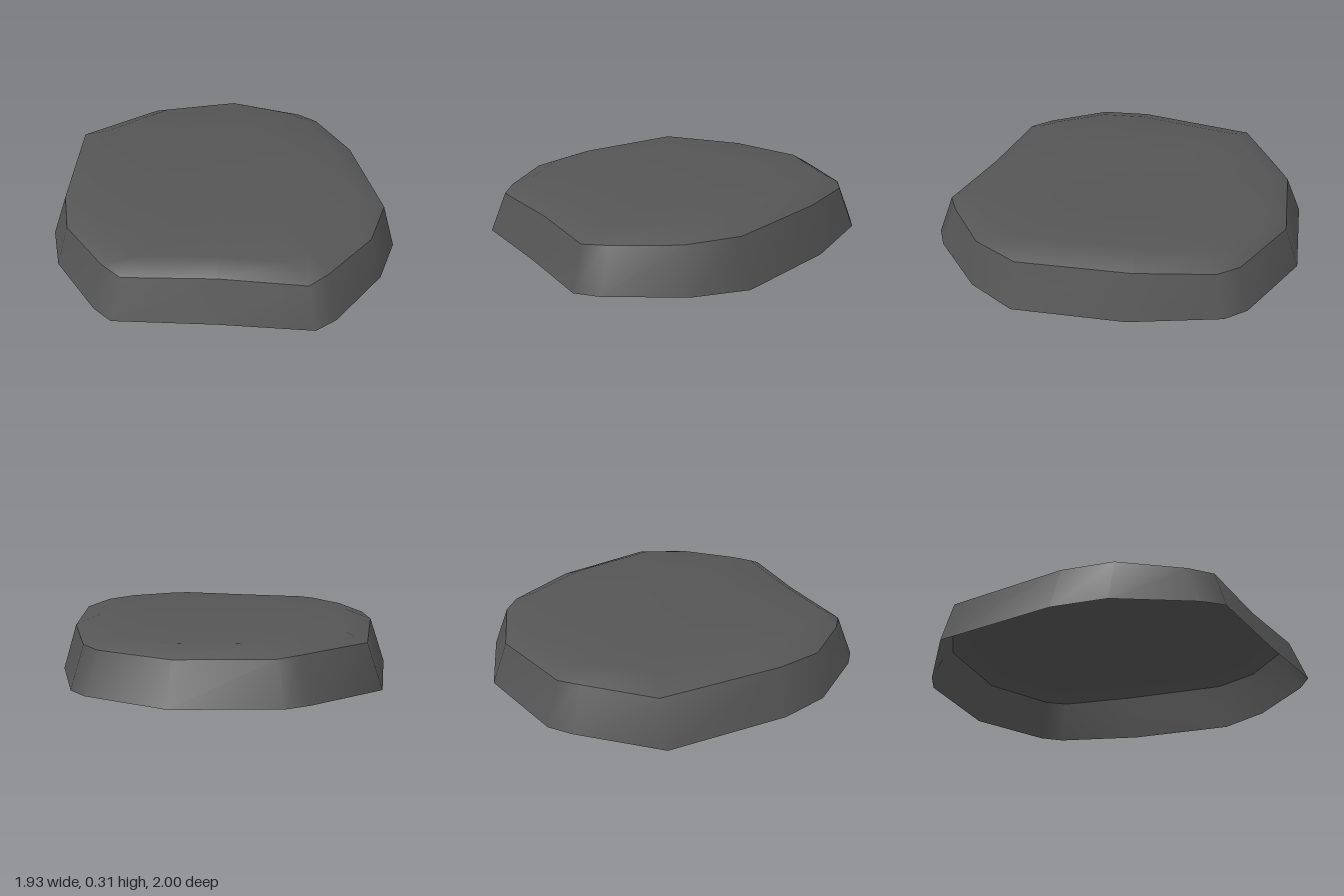
import * as THREE from 'three';

// Outline corners clockwise from the back: foot x, z, shoulder x, z, shoulder height
const OUTLINE = [
  [0.02, -1.0, 0.02, -0.915, 0.225], [0.49, -0.86, 0.44, -0.79, 0.225],
  [0.6, -0.77, 0.55, -0.7, 0.23], [0.82, -0.32, 0.74, -0.32, 0.255],
  [0.965, 0.27, 0.89, 0.27, 0.255], [0.87, 0.56, 0.8, 0.55, 0.242],
  [0.62, 0.91, 0.57, 0.83, 0.228], [0.515, 0.995, 0.47, 0.92, 0.222],
  [0.02, 0.98, 0.02, 0.895, 0.224], [-0.51, 0.985, -0.46, 0.91, 0.222],
  [-0.61, 0.9, -0.57, 0.82, 0.228], [-0.87, 0.55, -0.8, 0.54, 0.24],
  [-0.95, 0.27, -0.865, 0.27, 0.248], [-0.97, -0.41, -0.885, -0.415, 0.248],
  [-0.64, -0.78, -0.57, -0.71, 0.23], [-0.53, -0.87, -0.48, -0.79, 0.225],
];

// Skins successive rings of points, closing on an optional centre point
function loft(rings, centre) {
  const n = rings[0].length, points = rings.flat(), index = [];
  for (let r = 0; r < rings.length - 1; r++) {
    for (let i = 0; i < n; i++) {
      const a = r * n + i, b = r * n + (i + 1) % n;
      index.push(a, a + n, b, b, a + n, b + n);
    }
  }
  if (centre) {
    const last = (rings.length - 1) * n;
    for (let i = 0; i < n; i++) index.push(last + i, points.length, last + (i + 1) % n);
    points.push(centre);
  }
  const geometry = new THREE.BufferGeometry();
  geometry.setAttribute('position', new THREE.Float32BufferAttribute(points.flat(), 3));
  geometry.setIndex(index);
  geometry.computeVertexNormals();
  return geometry;
}

export function createModel() {
  const group = new THREE.Group();
  group.name = 'stoneSlab';
  const stone = new THREE.MeshStandardMaterial({ color: 0x555555, side: THREE.DoubleSide });
  stone.name = 'dark grey stone';

  const foot = OUTLINE.map(([x, z]) => [x, 0, z]);
  const shoulder = OUTLINE.map(([, , x, z, y]) => [x, y, z]);
  const brow = shoulder.map(([x, y, z]) => [x * 0.83, y + 0.058, z * 0.89]);
  const inner = brow.map(([x, y, z]) => [x * 0.55, 0.305 + (y - 0.305) * 0.3, z * 0.55]);

  // Sloping side wall, open underneath
  const wall = new THREE.Mesh(loft([foot, shoulder]), stone);
  wall.name = 'sideWall';
  // Bevelled, nearly flat cap with a sharp edge where it meets the wall
  const cap = new THREE.Mesh(loft([shoulder, brow, inner], [0, 0.304, 0]), stone);
  cap.name = 'topSurface';
  group.add(wall, cap);
  return group;
}
